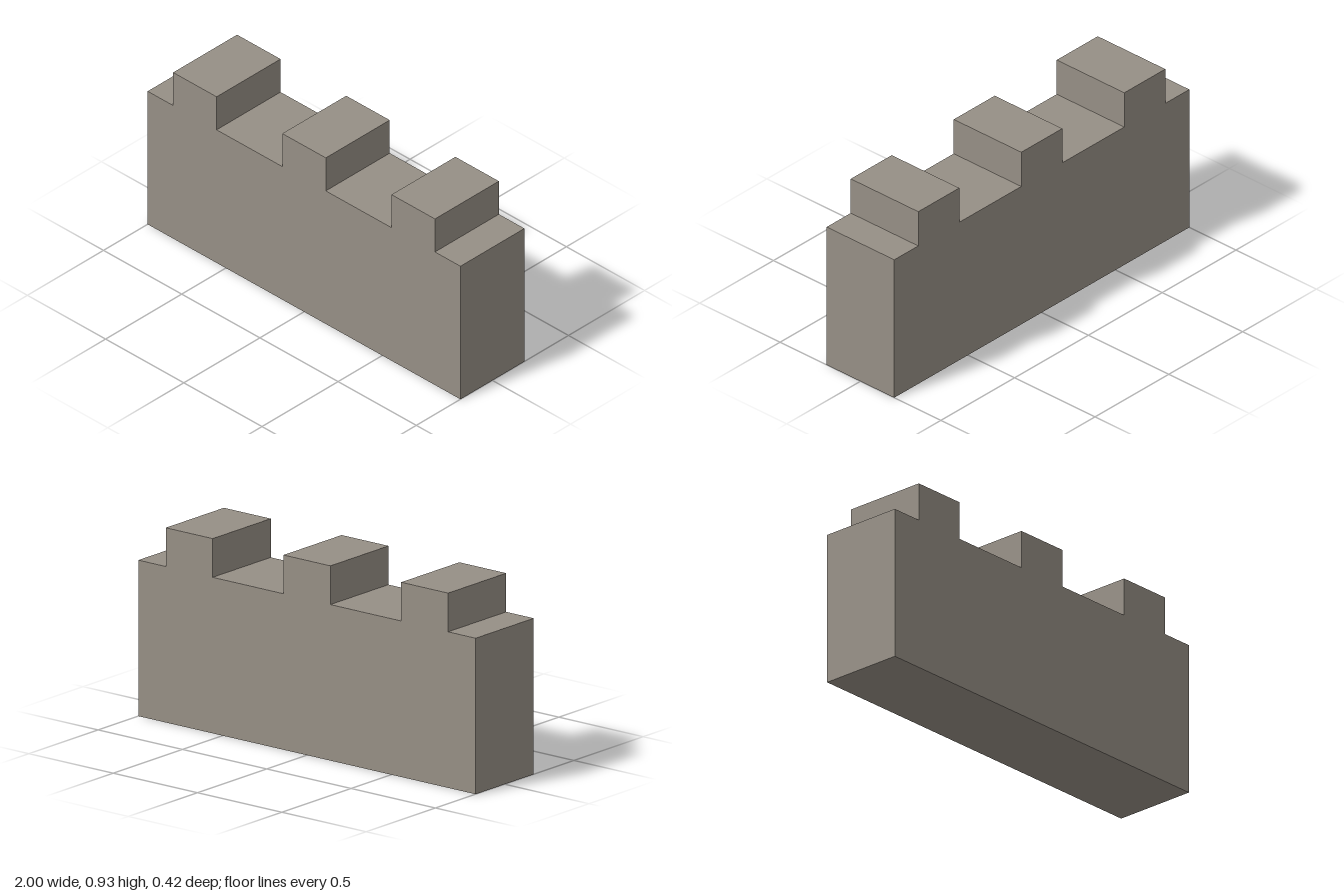
import * as THREE from 'three';

const DEPTH = 0.42;
const WALL_TOP = 0.745;
const MERLON_TOP = 0.93;
const MERLON_HALF = 0.139;
const MERLON_CENTRES = [0.698, 0, -0.698];

export function createModel() {
  const group = new THREE.Group();
  group.name = 'crenellatedWall';

  // Wall outline, stepping up and down over each merlon from +x to -x
  const outline = new THREE.Shape();
  outline.moveTo(-1, 0);
  outline.lineTo(1, 0);
  outline.lineTo(1, WALL_TOP);
  for (const x of MERLON_CENTRES) {
    outline.lineTo(x + MERLON_HALF, WALL_TOP);
    outline.lineTo(x + MERLON_HALF, MERLON_TOP);
    outline.lineTo(x - MERLON_HALF, MERLON_TOP);
    outline.lineTo(x - MERLON_HALF, WALL_TOP);
  }
  outline.lineTo(-1, WALL_TOP);
  outline.closePath();

  // Solid wall with its merlons
  const geometry = new THREE.ExtrudeGeometry(outline, { depth: DEPTH, bevelEnabled: false });
  geometry.translate(0, 0, -DEPTH / 2);
  const stone = new THREE.MeshStandardMaterial({ color: 0x968f85 });
  const wall = new THREE.Mesh(geometry, stone);
  wall.name = 'battlementWall';
  group.add(wall);

  return group;
}
